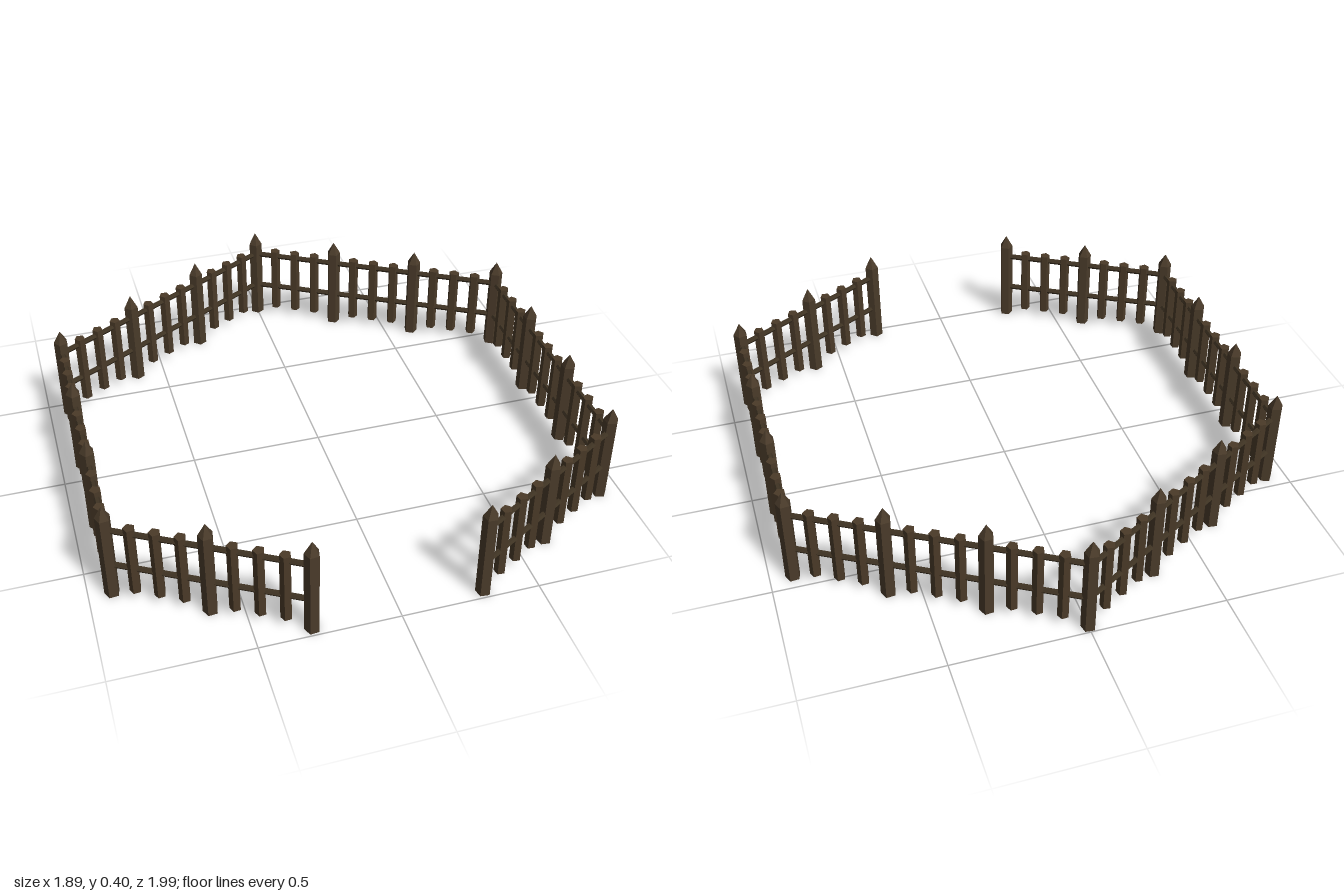
import * as THREE from 'three';

const POST_R = 0.028, STEP = 0.353;

export function createModel() {
  const fence = new THREE.Group();
  fence.name = 'hexagonalFence';

  const mat = (name, color) => {
    const m = new THREE.MeshStandardMaterial({ color, flatShading: true });
    m.name = name;
    return m;
  };
  const postWood = mat('post wood', 0x4a3b2a);
  const picketWood = mat('picket wood', 0x4a3a28);
  const railWood = mat('rail wood', 0x3f3323);

  // Shared low-poly shapes
  const postGeo = new THREE.CylinderGeometry(POST_R, POST_R, 0.345, 5).translate(0, 0.1725, 0);
  const tipGeo = new THREE.ConeGeometry(POST_R, 0.05, 5, 1, true).translate(0, 0.37, 0);
  const picketGeo = new THREE.CylinderGeometry(0.021, 0.021, 0.285, 5).translate(0, 0.1775, 0);
  const railGeo = new THREE.CylinderGeometry(0.011, 0.011, STEP, 6).rotateZ(Math.PI / 2);

  const add = (parent, name, geo, material, x, y = 0) => {
    const mesh = new THREE.Mesh(geo, material);
    mesh.name = name;
    mesh.position.set(x, y, 0);
    parent.add(mesh);
  };

  const addPost = (parent, x) => {
    add(parent, 'post', postGeo, postWood, x);
    add(parent, 'postTip', tipGeo, postWood, x);
  };

  // One straight run along local +x: a post, two rails and three pickets per bay
  const addRun = (name, [x0, z0], [x1, z1], bays, lastPost) => {
    const run = new THREE.Group();
    run.name = name;
    run.position.set(x0, 0, z0);
    run.rotation.y = Math.atan2(z0 - z1, x1 - x0);
    for (let i = 0; i < bays; i++) {
      const start = i * STEP;
      addPost(run, start);
      for (const y of [0.138, 0.293]) add(run, 'rail', railGeo, railWood, start + STEP / 2, y);
      for (let k = 1; k <= 3; k++) add(run, 'picket', picketGeo, picketWood, start + (k * STEP) / 4);
    }
    if (lastPost) addPost(run, bays * STEP);
    fence.add(run);
  };

  // Path around the hexagon, leaving a gateway open at the front
  const path = [
    [0.305, 0.969], [0.917, 0.616], [0.917, -0.443], [0, -0.973],
    [-0.917, -0.443], [-0.917, 0.616], [-0.305, 0.969],
  ];
  const names = ['frontLeftRun', 'leftRun', 'backLeftRun', 'backRightRun', 'rightRun', 'frontRightRun'];
  names.forEach((name, i) => {
    const last = i === names.length - 1;
    addRun(name, path[i], path[i + 1], i === 0 || last ? 2 : 3, last);
  });

  return fence;
}
